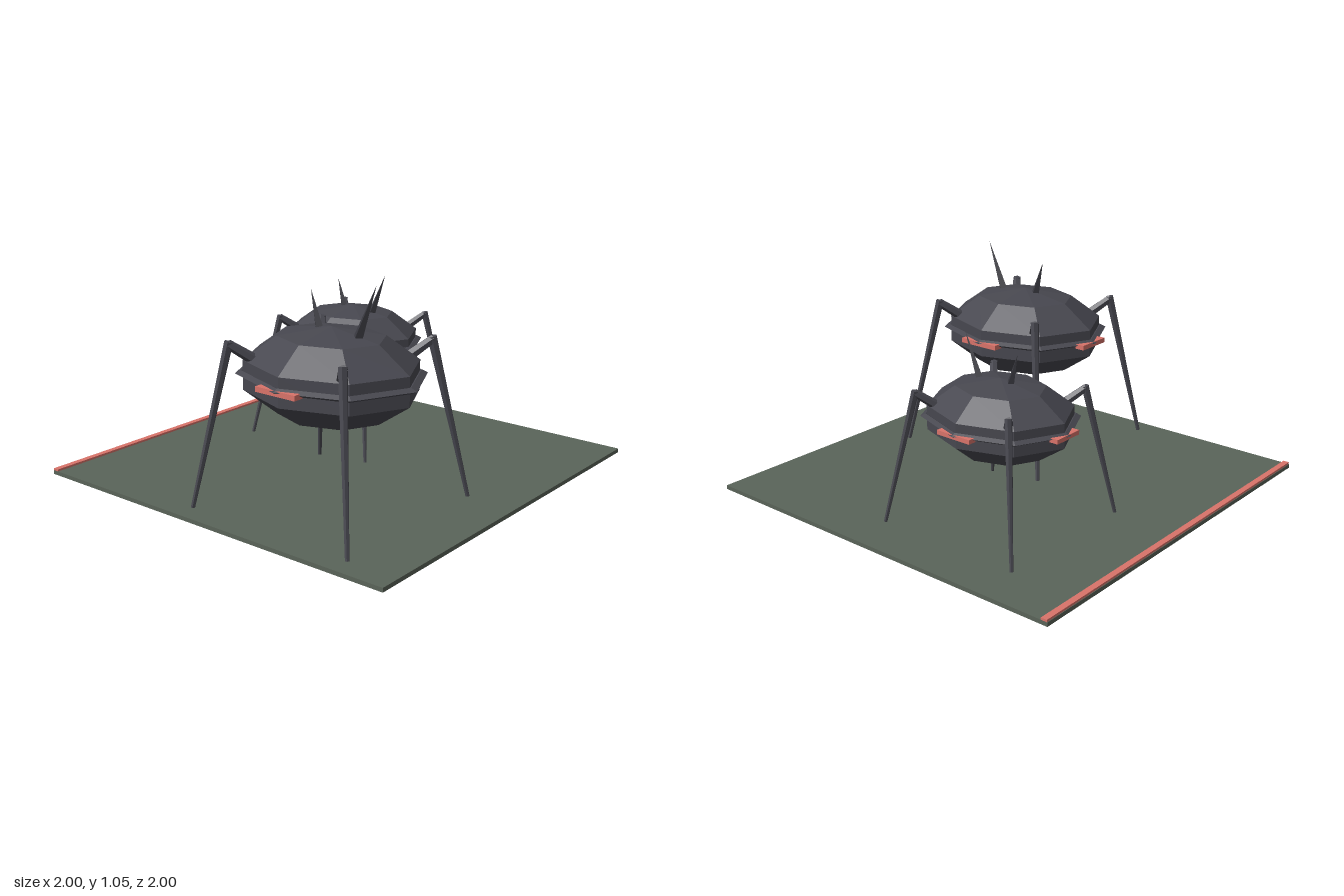
import * as THREE from 'three';

const mat = (name, color) => {
  const m = new THREE.MeshStandardMaterial({ color, flatShading: true });
  m.name = name;
  return m;
};

export function createModel() {
  const shell = mat('dark shell', 0x47474f);
  const thorn = mat('dark thorn', 0x3a3a41);
  const moss = mat('moss green', 0x5a6459);
  const coral = mat('coral', 0xd9736a);

  const add = (parent, name, geometry, material, x = 0, y = 0, z = 0) => {
    const mesh = new THREE.Mesh(geometry, material);
    mesh.name = name;
    mesh.position.set(x, y, z);
    parent.add(mesh);
    return mesh;
  };

  // Tapered rod between two points
  const rod = (parent, name, a, b, rA, rB, sides, material) => {
    const from = new THREE.Vector3(...a), to = new THREE.Vector3(...b);
    const dir = to.clone().sub(from);
    const mesh = add(parent, name, new THREE.CylinderGeometry(rB, rA, dir.length(), sides), material);
    mesh.position.copy(from).add(to).multiplyScalar(0.5);
    mesh.quaternion.setFromUnitVectors(new THREE.Vector3(0, 1, 0), dir.normalize());
  };

  // Walker built around the centre of its body; footY is the floor level
  const walker = (name, footY) => {
    const g = new THREE.Group();
    g.name = name;

    // Faceted body and pointed rim
    add(g, 'body', new THREE.SphereGeometry(1, 8, 5).scale(0.37, 0.22, 0.445), shell);
    const rim = new THREE.TorusGeometry(1, 0.07, 4, 8).rotateX(Math.PI / 2);
    add(g, 'rim', rim.scale(0.36, 0.2, 0.43), shell, 0, 0.008, 0);

    // Coral lights on both sides and the back
    for (const s of [-1, 1]) {
      add(g, 'sideLight', new THREE.BoxGeometry(0.05, 0.024, 0.22), coral, s * 0.349, 0.002, 0);
    }
    add(g, 'backLight', new THREE.BoxGeometry(0.18, 0.024, 0.05), coral, 0, 0.002, -0.424);

    // Spikes on the top
    rod(g, 'frontSpike', [0, 0.17, 0.14], [0, 0.433, 0.245], 0.026, 0, 4, thorn);
    rod(g, 'backSpike', [0, 0.19, -0.065], [0, 0.37, -0.115], 0.024, 0, 4, thorn);

    // Four bent legs
    for (const sx of [-1, 1]) {
      for (const sz of [-1, 1]) {
        const leg = new THREE.Group();
        leg.name = 'leg';
        const knee = [sx * 0.318, 0.152, sz * 0.32];
        rod(leg, 'upperLeg', [sx * 0.23, 0.075, sz * 0.245], knee, 0.026, 0.021, 6, shell);
        rod(leg, 'lowerLeg', [sx * 0.442, footY, sz * 0.442],
          [sx * 0.314, 0.162, sz * 0.316], 0.01, 0.021, 6, shell);
        g.add(leg);
      }
    }
    return g;
  };

  const model = new THREE.Group();
  model.name = 'walkersOnPlate';

  // Ground plate with a coral strip along the back edge
  add(model, 'groundPlate', new THREE.BoxGeometry(2, 0.02, 2), moss, 0, 0.01, 0);
  add(model, 'backStrip', new THREE.BoxGeometry(2, 0.01, 0.03), coral, 0, 0.025, -0.982);

  const large = walker('largeWalker', -0.6);
  large.position.set(-0.46, 0.62, 0.305);
  const small = walker('smallWalker', -0.58);
  small.scale.setScalar(0.85);
  small.position.set(0.405, 0.513, -0.26);
  model.add(large, small);
  return model;
}
